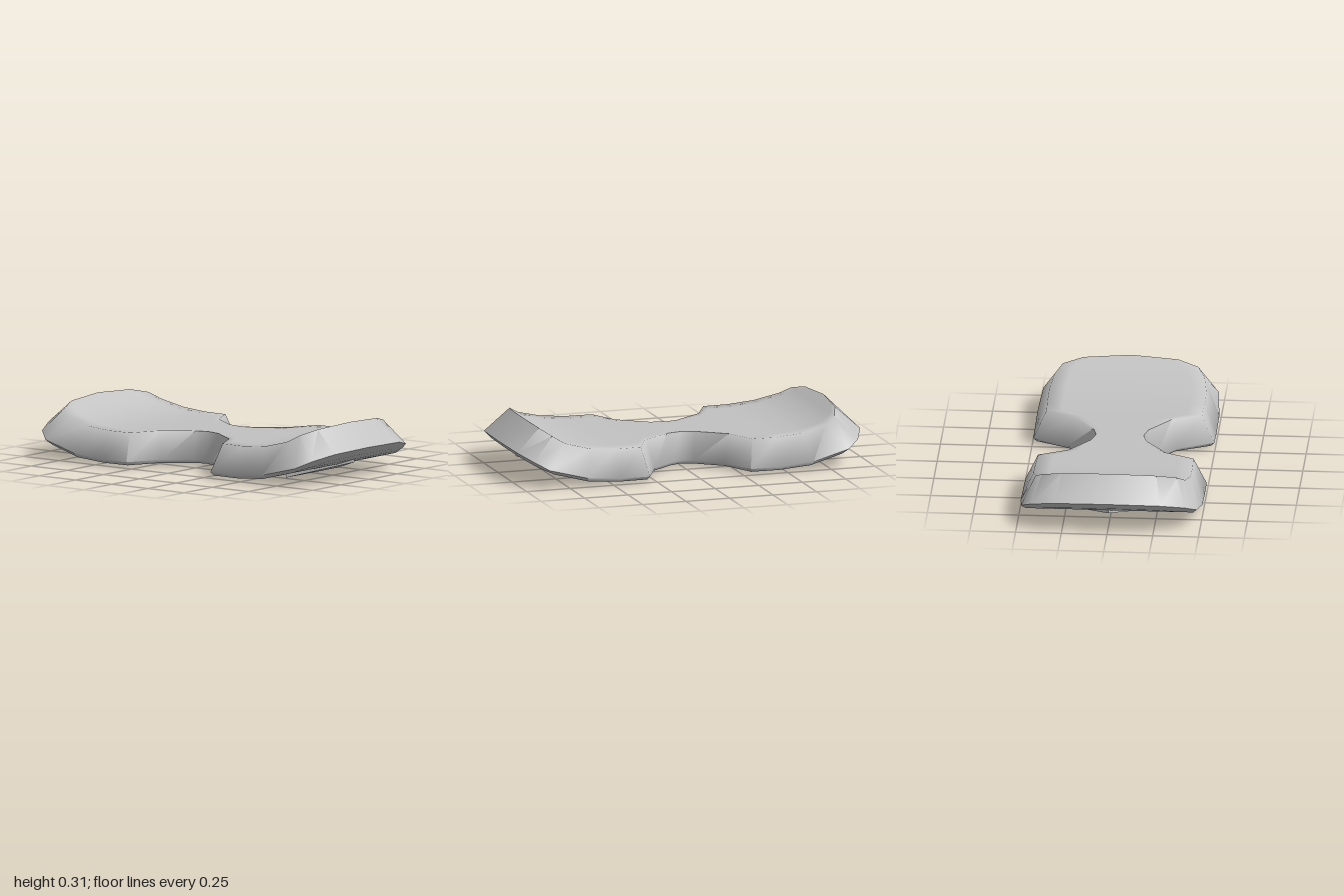
import * as THREE from 'three';
import { toCreasedNormals } from 'three/addons/utils/BufferGeometryUtils.js';

const grey = new THREE.MeshStandardMaterial({ color: 0xc2c2c2 });
grey.name = 'light grey';

// Straight-line interpolation through [x, y] points, mirrored about x = 0
function profile(points) {
  return (x) => {
    const a = Math.abs(x);
    for (let i = 1; i < points.length; i++) {
      const [x0, y0] = points[i - 1], [x1, y1] = points[i];
      if (a <= x1) return y0 + ((y1 - y0) * (a - x0)) / (x1 - x0);
    }
    return points[points.length - 1][1];
  };
}
const topY = profile([[0, 0.185], [0.48, 0.185], [0.6, 0.195], [0.73, 0.22], [0.87, 0.305]]);
const bottomY = profile([[0, 0.013], [0.46, 0.013], [0.62, 0.022], [0.86, 0.083], [1, 0.157]]);

// Half outline: [outer x, outer half width, deck x, deck half width]
const half = [
  [0, 0.17, 0, 0.13],
  [0.06, 0.195, 0.08, 0.15],
  [0.195, 0.3, 0.24, 0.265],
  [0.29, 0.495, 0.32, 0.425],
  [0.46, 0.497, 0.46, 0.43],
  [0.65, 0.497, 0.61, 0.43],
  [0.86, 0.48, 0.75, 0.41],
  [0.93, 0.42, 0.81, 0.37],
  [0.985, 0.29, 0.85, 0.26],
  [1, 0, 0.87, 0],
];

// Curled deck with sloping walls and a bevelled underside
function bodyGeometry() {
  const mirrored = half.slice(1).reverse().map(([xo, zo, xt, zt]) => [-xo, zo, -xt, zt]);
  const stations = [...mirrored, ...half];
  const pos = [], index = [];
  const n = 8;
  for (const [xo, zo, xt, zt] of stations) {
    const xi = xo + 0.3 * (xt - xo), zi = zo + 0.3 * (zt - zo);
    const yt = topY(xt), yo = bottomY(xo) + 0.02, yi = bottomY(xi);
    pos.push(xt, yt, zt, xt, yt, zt * 0.8, xt, yt, -zt * 0.8, xt, yt, -zt);
    pos.push(xo, yo, -zo, xi, yi, -zi, xi, yi, zi, xo, yo, zo);
  }
  for (let i = 0; i < stations.length - 1; i++) {
    for (let j = 0; j < n; j++) {
      const a = i * n + j, d = i * n + ((j + 1) % n);
      index.push(a, a + n, d + n, a, d + n, d);
    }
  }
  const geo = new THREE.BufferGeometry();
  geo.setAttribute('position', new THREE.Float32BufferAttribute(pos, 3));
  geo.setIndex(index);
  return toCreasedNormals(geo, 1.25);
}

// Triangular pad following the upswept underside
function arrowGeometry() {
  const shape = new THREE.Shape([
    new THREE.Vector2(0.605, -0.23),
    new THREE.Vector2(0.9, 0),
    new THREE.Vector2(0.605, 0.23),
  ]);
  const geo = new THREE.ExtrudeGeometry(shape, { depth: 0.028, bevelEnabled: false });
  geo.rotateX(-Math.PI / 2);
  const p = geo.attributes.position;
  for (let i = 0; i < p.count; i++) p.setY(i, p.getY(i) + 0.29 * (p.getX(i) - 0.605));
  geo.computeVertexNormals();
  return geo;
}

export function createModel() {
  const model = new THREE.Group();
  model.name = 'board';
  const add = (name, geo) => {
    const mesh = new THREE.Mesh(geo, grey);
    mesh.name = name;
    model.add(mesh);
    return mesh;
  };

  add('deck', bodyGeometry());

  // Arrow pads at both ends of the underside
  add('leftArrowPad', arrowGeometry());
  add('rightArrowPad', arrowGeometry()).rotation.y = Math.PI;

  // Row of flat pads along the underside
  for (const [x0, x1] of [[-0.575, -0.27], [-0.235, -0.085], [-0.052, 0.045], [0.075, 0.23], [0.262, 0.57]]) {
    const geo = new THREE.BoxGeometry(x1 - x0, 0.02, 0.15);
    add('undersidePad', geo).position.set((x0 + x1) / 2, 0.01, 0);
  }
  return model;
}
